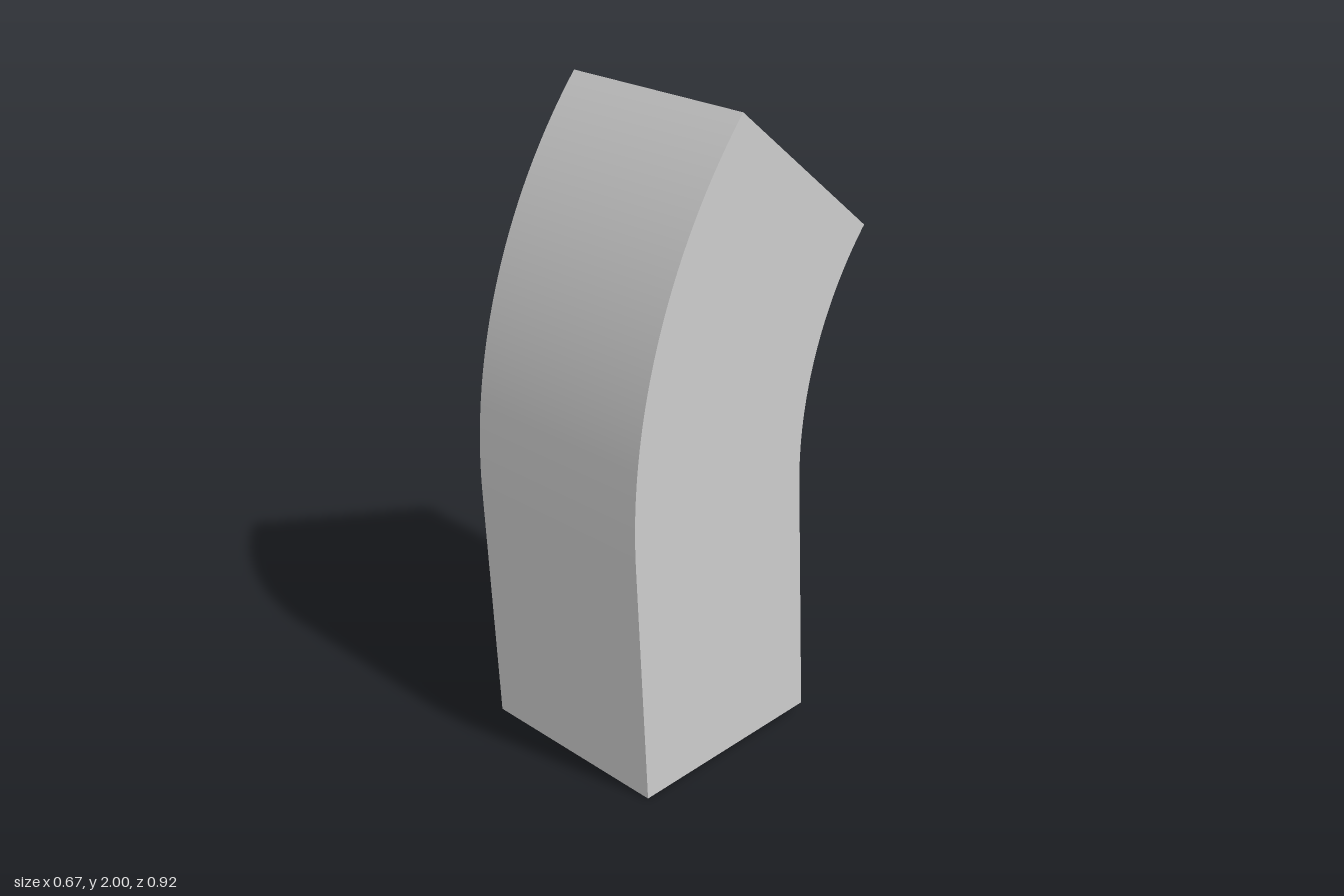
import * as THREE from 'three';
import { toCreasedNormals } from 'three/addons/utils/BufferGeometryUtils.js';

export function createModel() {
  const group = new THREE.Group();
  group.name = 'bentBlock';

  // Side profile (shape x = world z): straight lower leg, then a concentric bend to the back
  const cz = -1.3025, cy = 0.877;           // bend centre
  const outer = 1.766, inner = 1.095;       // bend radii
  const start = THREE.MathUtils.degToRad(-3), end = THREE.MathUtils.degToRad(39.5);
  const profile = new THREE.Shape();
  profile.moveTo(-0.25, 0.035);
  profile.lineTo(0.42, 0);
  profile.absarc(cz, cy, outer, start, end, false);
  profile.absarc(cz, cy, inner, end, start, true);
  profile.closePath();

  // Extrude across the width and turn so the profile lies in the z-y plane
  const width = 0.674;
  let geometry = new THREE.ExtrudeGeometry(profile, { depth: width, bevelEnabled: false, curveSegments: 40 });
  geometry.translate(0, 0, -width / 2);
  geometry.rotateY(-Math.PI / 2);
  geometry = toCreasedNormals(geometry, 0.5);

  const block = new THREE.Mesh(geometry, new THREE.MeshStandardMaterial({ color: 0xcccccc }));
  block.name = 'curvedBlock';
  group.add(block);
  return group;
}
